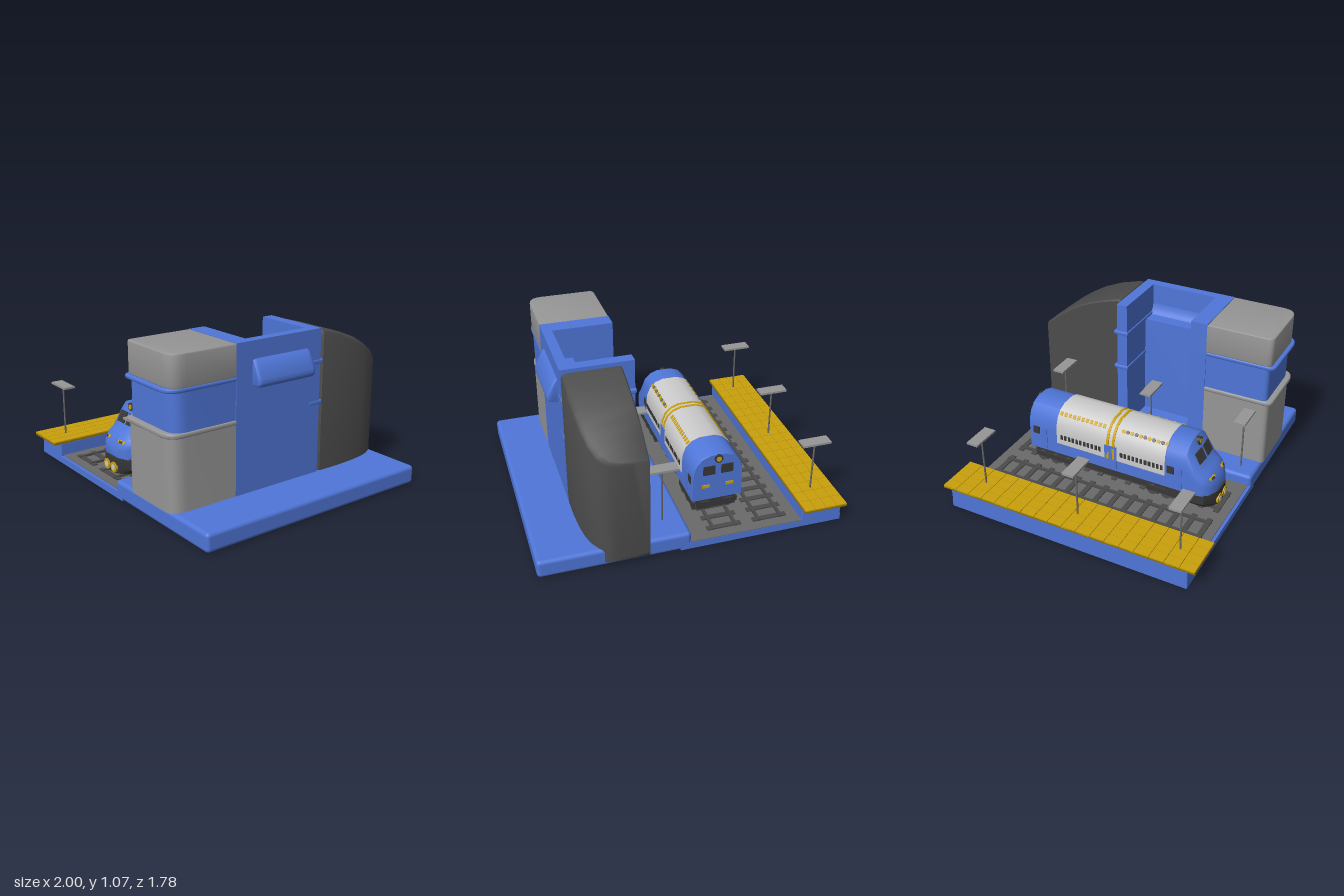
import * as THREE from 'three';
import { toCreasedNormals } from 'three/addons/utils/BufferGeometryUtils.js';
import { RoundedBoxGeometry } from 'three/addons/geometries/RoundedBoxGeometry.js';

const mat = (color) => new THREE.MeshStandardMaterial({ color });
const M = {
  blue: mat(0x4f76d8), yellow: mat(0xc9a00c), grey: mat(0xcccccc), stone: mat(0x969696),
  bed: mat(0x6a6a6a), dark: mat(0x4c4c4c), black: mat(0x383838),
};

function add(parent, name, geo, material, x = 0, y = 0, z = 0) {
  const m = new THREE.Mesh(geo, material);
  m.name = name;
  m.position.set(x, y, z);
  parent.add(m);
  return m;
}

// Box given by its limits
function box(parent, name, material, x0, x1, y0, y1, z0, z1, r = 0) {
  const s = [x1 - x0, y1 - y0, z1 - z0];
  const geo = r ? new RoundedBoxGeometry(...s, 3, r) : new THREE.BoxGeometry(...s);
  return add(parent, name, geo, material, (x0 + x1) / 2, (y0 + y1) / 2, (z0 + z1) / 2);
}

// Floor plan in (x, -z) raised from y0 to y1
function raise(parent, name, material, shape, y0, y1, bevel = 0) {
  const geo = new THREE.ExtrudeGeometry(shape, {
    depth: y1 - y0 - 2 * bevel, bevelEnabled: bevel > 0, bevelSize: bevel,
    bevelThickness: bevel, bevelOffset: -bevel, bevelSegments: 3, curveSegments: 8,
  });
  geo.translate(0, 0, bevel).rotateX(-Math.PI / 2);
  return add(parent, name, toCreasedNormals(geo, 0.6), material, 0, y0, 0);
}

// Plan with a square back and rounded front corners
function frontPlan(x0, x1, zBack, zFront, rl, rr) {
  const s = new THREE.Shape();
  s.moveTo(x0, -zBack);
  s.lineTo(x0, -zFront + rl);
  s.quadraticCurveTo(x0, -zFront, x0 + rl, -zFront);
  s.lineTo(x1 - rr, -zFront);
  s.quadraticCurveTo(x1, -zFront, x1, -zFront + rr);
  s.lineTo(x1, -zBack);
  s.closePath();
  return s;
}

// Skin over rings of [x, y, z], counter-clockwise from the front, ordered back to front
function loft(rings, crease = 0.6) {
  const n = rings[0].length, idx = [], last = (rings.length - 1) * n;
  for (let i = 0; i < rings.length - 1; i++)
    for (let j = 0; j < n; j++) {
      const a = i * n + j, b = i * n + (j + 1) % n;
      idx.push(a, b, b + n, a, b + n, a + n);
    }
  for (let j = 1; j < n - 1; j++) idx.push(0, j + 1, j, last, last + j, last + j + 1);
  const geo = new THREE.BufferGeometry();
  geo.setAttribute('position', new THREE.Float32BufferAttribute(rings.flat(2), 3));
  geo.setIndex(idx);
  return toCreasedNormals(geo, crease);
}

function addBase(g) {
  box(g, 'trackBase', M.blue, -0.99, 0.1, 0, 0.046, -0.84, 0.84);
  box(g, 'trackBed', M.bed, -0.715, 0.035, 0.04, 0.052, -0.838, 0.82);
  box(g, 'leftPlatform', M.blue, -0.99, -0.715, 0, 0.14, -0.84, 0.84, 0.008);
  box(g, 'mainPlatform', M.blue, 0.03, 1, 0, 0.122, -0.84, 0.84, 0.025);
  // Paved edge
  box(g, 'paving', mat(0x8f7208), -1, -0.71, 0.138, 0.15, -0.89, 0.89);
  const w = 0.29 / 4, d = 1.78 / 18;
  for (let i = 0; i < 4; i++)
    for (let j = 0; j < 18; j++) {
      const x = -1 + i * w, z = -0.89 + j * d;
      box(g, 'tile', M.yellow, x, x + w - 0.003, 0.145, 0.158, z + 0.0015, z + d - 0.0015);
    }
  // Tracks
  for (const cx of [-0.525, -0.215]) {
    for (const s of [-1, 1]) box(g, 'rail', M.dark, cx + s * 0.075 - 0.01, cx + s * 0.075 + 0.01, 0.05, 0.066, -0.77, 0.76);
    for (let i = 0; i < 15; i++) {
      const z = -0.75 + i * 0.1064;
      box(g, 'sleeper', M.dark, cx - 0.115, cx + 0.115, 0.05, 0.06, z - 0.018, z + 0.018);
    }
  }
  // Lamps
  for (const [x, z] of [[-0.85, -0.66], [-0.85, 0.03], [-0.85, 0.73], [0.168, -0.66], [0.168, 0.03], [0.125, 0.73]]) {
    add(g, 'lampPost', new THREE.CylinderGeometry(0.006, 0.006, 0.39, 10), M.bed, x, 0.315, z);
    box(g, 'lampPanel', M.stone, x - 0.097, x + 0.097, 0.506, 0.52, z - 0.04, z + 0.04);
  }
}

function addTower(g) {
  // Front block in three storeys with ledges
  raise(g, 'lowerStorey', M.stone, frontPlan(0.22, 0.69, 0.4, 0.85, 0.04, 0.1), 0.115, 0.585);
  raise(g, 'middleStorey', M.blue, frontPlan(0.225, 0.685, 0.4, 0.835, 0.04, 0.1), 0.585, 0.865);
  raise(g, 'upperStorey', M.stone, frontPlan(0.22, 0.69, 0.4, 0.85, 0.04, 0.1), 0.862, 1.065, 0.008);
  raise(g, 'upperLedge', M.blue, frontPlan(0.215, 0.693, 0.4, 0.875, 0.05, 0.11), 0.84, 0.866, 0.008);
  raise(g, 'lowerLedge', M.stone, frontPlan(0.215, 0.693, 0.4, 0.872, 0.05, 0.11), 0.573, 0.603, 0.008);
  // U-shaped hall open to the left, with a terrace in its upper part
  const hall = (xIn) => new THREE.Shape([
    [0.22, -0.4], [0.69, -0.4], [0.69, 0.26], [0.22, 0.26], [0.22, 0.185], [xIn, 0.185], [xIn, -0.285], [0.22, -0.285],
  ].map(([x, y]) => new THREE.Vector2(x, y)));
  raise(g, 'hallLower', M.blue, hall(0.5), 0.115, 0.85);
  raise(g, 'hallUpper', M.blue, hall(0.625), 0.85, 1.065);
  const lip = new THREE.Shape();
  lip.moveTo(0.57, 0.84); lip.lineTo(0.63, 0.84); lip.lineTo(0.63, 0.95); lip.quadraticCurveTo(0.62, 0.86, 0.57, 0.84);
  add(g, 'terraceCurve', new THREE.ExtrudeGeometry(lip, { depth: 0.47, bevelEnabled: false }), M.blue, 0, 0, -0.185);
  for (const y of [0.59, 0.855]) box(g, 'backLedge', M.blue, 0.213, 0.693, y - 0.014, y + 0.014, -0.283, -0.178, 0.008);
  // Bay on the outer wall
  const s = new THREE.Shape();
  s.moveTo(0.67, 0.8); s.lineTo(0.735, 0.8);
  s.quadraticCurveTo(0.755, 0.805, 0.745, 0.845);
  s.lineTo(0.695, 0.94); s.lineTo(0.67, 0.95);
  s.closePath();
  const bay = new THREE.ExtrudeGeometry(s, { depth: 0.38, bevelSize: 0.012, bevelThickness: 0.03, bevelSegments: 4 });
  add(g, 'bay', toCreasedNormals(bay, 0.8), M.blue, 0, 0, -0.13);
  // Curved rear hall: rows of z, right edge, top
  const rows = [
    [-0.883, 0.42, 0.745], [-0.875, 0.5, 0.755], [-0.855, 0.565, 0.77], [-0.82, 0.61, 0.797], [-0.76, 0.645, 0.845],
    [-0.68, 0.668, 0.9], [-0.58, 0.682, 0.957], [-0.45, 0.69, 1.01], [-0.31, 0.69, 1.05], [-0.285, 0.688, 1.052], [-0.272, 0.675, 1.035],
  ];
  const rings = rows.map(([z, xr, top], i) => {
    const low = i === 0 ? 0.08 : i === 1 ? 0.05 : 0.03;
    return [[0.31, low, z], [xr, low, z], [xr, top - 0.03, z], [xr - 0.009, top - 0.01, z], [xr - 0.03, top, z], [0.32, top, z], [0.31, top - 0.01, z]];
  });
  add(g, 'rearHall', loft(rings, 0.7), M.dark);
}

// Arched section: half width, floor, top
const HALF = [[1, 0], [1, 0.5], [0.97, 0.66], [0.85, 0.82], [0.62, 0.94], [0.3, 1]];
function arch(z, w, y0, top) {
  const right = HALF.map(([u, v]) => [u * w, y0 + v * (top - y0), z]);
  return [...right, ...right.map(([x, y]) => [-x, y, z]).reverse()];
}

function addTrain(g) {
  const t = new THREE.Group();
  t.name = 'train';
  t.position.x = -0.215;
  g.add(t);
  add(t, 'body', loft([
    [-0.615, 0.165, 0.51], [-0.605, 0.168, 0.515], [0.54, 0.168, 0.515], [0.62, 0.166, 0.365], [0.66, 0.158, 0.335],
    [0.695, 0.125, 0.3], [0.72, 0.08, 0.26],
  ].map(([z, w, top]) => arch(z, w, 0.18, top))), M.blue);
  // Grey carriage shell: the upper part of the section only
  const shell = (z, e) => arch(z, 0.168 + e, 0.19, 0.515 + e).map(([x, y]) => [x, Math.max(y, 0.265), z]);
  add(t, 'carriageShell', loft([shell(-0.4, 0.003), shell(0.4, 0.003)]), M.grey);
  for (const z of [-0.012, 0.03]) add(t, 'roofStripe', loft([shell(z - 0.009, 0.006), shell(z + 0.009, 0.006)]), M.yellow);
  // Skirt and running gear
  const skirt = [[0.4, 0.155], [0.62, 0.16], [0.67, 0.15], [0.71, 0.105], [0.732, 0.06]].map(([z, w]) =>
    [[-w * 0.8, 0.075, z], [w * 0.8, 0.075, z], [w, 0.11, z], [w, 0.185, z], [-w, 0.185, z], [-w, 0.11, z]]);
  add(t, 'frontSkirt', loft(skirt), M.black);
  box(t, 'underframe', M.black, -0.13, 0.13, 0.1, 0.185, -0.6, 0.42);
  const wheel = new THREE.CylinderGeometry(0.036, 0.036, 0.02, 20).rotateZ(Math.PI / 2);
  const disc = (r, d) => new THREE.CylinderGeometry(r, r, d, 20).rotateX(Math.PI / 2);
  for (const s of [-1, 1]) {
    for (const z of [-0.54, -0.44, -0.34, 0.3, 0.4, 0.5]) add(t, 'wheel', wheel, M.dark, s * 0.135, 0.1, z);
    for (const z of [-0.44, 0.4]) box(t, 'bogieFrame', M.black, s * 0.145 - 0.008, s * 0.145 + 0.008, 0.1, 0.135, z - 0.14, z + 0.14);
    // Side windows and cab doors
    for (let i = 0; i < 11; i++)
      for (const z0 of [-0.37, 0.08])
        box(t, 'sideWindow', M.black, s * 0.17 - 0.004, s * 0.17 + 0.004, 0.305, 0.34, z0 + i * 0.029, z0 + i * 0.029 + 0.017);
    box(t, 'sideDoor', M.blue, s * 0.17 - 0.004, s * 0.17 + 0.004, 0.2, 0.37, -0.035, 0.055);
    for (const z of [-0.53, 0.47]) {
      box(t, 'cabWindow', M.black, s * 0.168 - 0.003, s * 0.168 + 0.003, 0.295, 0.35, z - 0.055, z - 0.005);
      box(t, 'cabDoor', M.blue, s * 0.168 - 0.004, s * 0.168 + 0.004, 0.2, 0.35, z + 0.01, z + 0.05);
    }
    // Roof lights: square at the rear, round at the front
    for (let i = 0; i < 11; i++) {
      const a = add(t, 'roofLight', new THREE.BoxGeometry(0.028, 0.01, 0.02), M.yellow, s * 0.123, 0.478, -0.38 + i * 0.0325);
      const b = add(t, 'roofPort', new THREE.CylinderGeometry(0.013, 0.013, 0.014, 12), i % 2 ? M.bed : M.yellow, s * 0.123, 0.478, 0.085 + i * 0.031);
      a.rotation.z = b.rotation.z = -s * Math.PI / 4;
    }
    // Front face
    const screen = add(t, 'windscreen', new THREE.BoxGeometry(0.085, 0.078, 0.02), M.black, s * 0.055, 0.408, 0.592);
    screen.rotation.set(-0.476, s * 0.08, 0);
    const marker = add(t, 'markerLight', new RoundedBoxGeometry(0.06, 0.026, 0.03, 2, 0.01), M.yellow, s * 0.078, 0.285, 0.687);
    marker.rotation.set(-0.5, s * 0.35, 0);
    const glass = add(t, 'markerGlass', new THREE.BoxGeometry(0.026, 0.014, 0.034), M.black, s * 0.078, 0.286, 0.689);
    glass.rotation.copy(marker.rotation);
    add(t, 'headlightRim', disc(0.036, 0.03), M.yellow, s * 0.041, 0.115, 0.724);
    add(t, 'headlight', disc(0.02, 0.036), M.grey, s * 0.041, 0.115, 0.724);
    // Rear face
    box(t, 'rearWindow', M.black, s * 0.06 - 0.04, s * 0.06 + 0.04, 0.37, 0.435, -0.62, -0.61);
    box(t, 'rearLight', M.yellow, s * 0.08 - 0.025, s * 0.08 + 0.025, 0.275, 0.295, -0.622, -0.61);
    box(t, 'buffer', M.black, s * 0.08 - 0.03, s * 0.08 + 0.03, 0.11, 0.16, -0.615, -0.59);
  }
  for (const z of [0.556, -0.612]) {
    add(t, 'topLampRim', disc(0.028, 0.03), M.black, 0, 0.485, z);
    add(t, 'topLamp', disc(0.018, 0.036), M.yellow, 0, 0.485, z);
  }
}

export function createModel() {
  const g = new THREE.Group();
  g.name = 'railwayStation';
  addBase(g);
  addTower(g);
  addTrain(g);
  return g;
}
